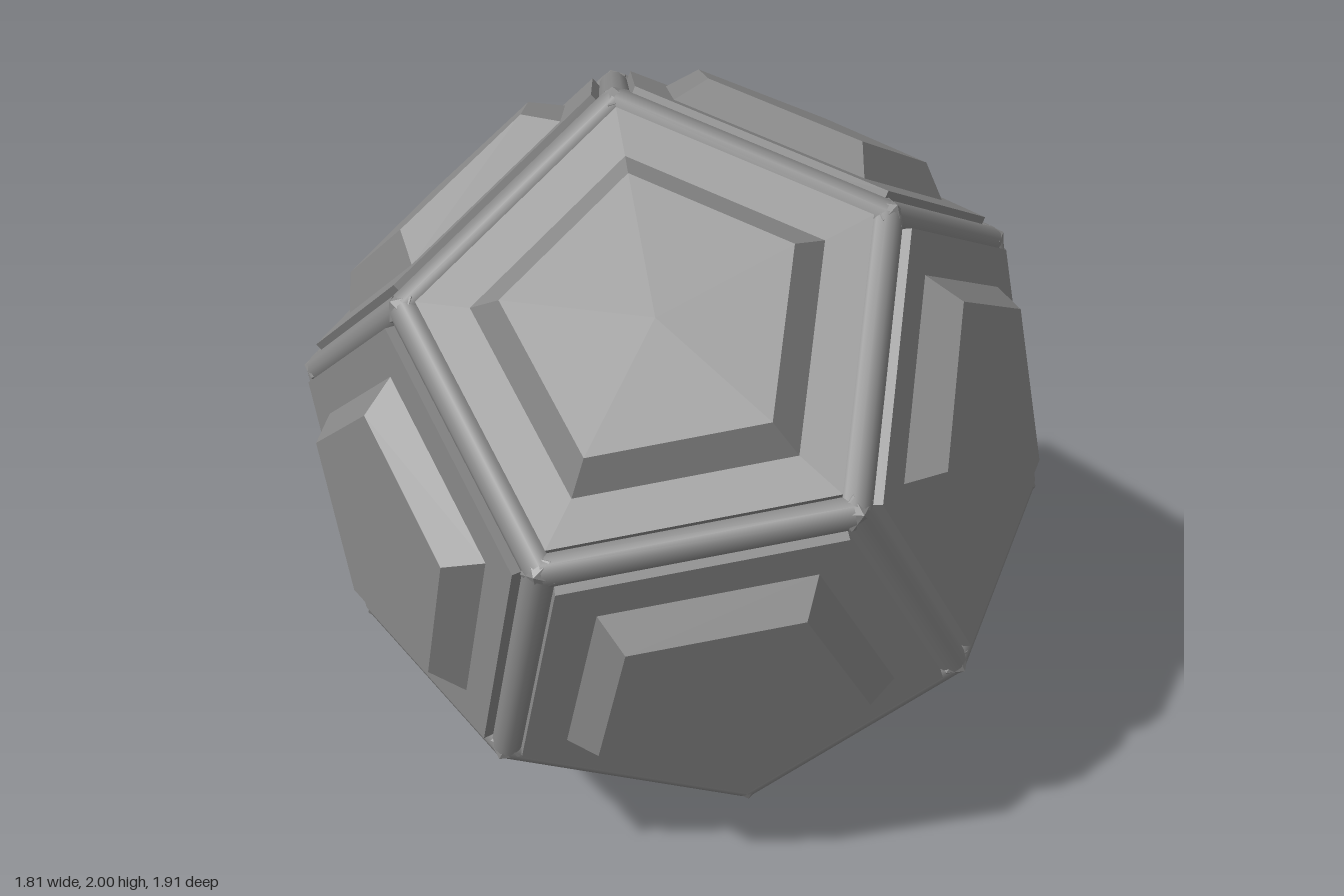
import * as THREE from 'three';
import { ConvexGeometry } from 'three/addons/geometries/ConvexGeometry.js';

const V = (x, y, z) => new THREE.Vector3(x, y, z);

export function createModel() {
  const model = new THREE.Group();
  const flat = new THREE.MeshStandardMaterial({ color: 0x888888, flatShading: true });
  const smooth = new THREE.MeshStandardMaterial({ color: 0x888888 });

  // Place a mesh with its local y along "up" and its local z along "out"
  function add(geometry, name, position, up, out, material = flat) {
    const mesh = new THREE.Mesh(geometry, material);
    mesh.name = name;
    mesh.position.copy(position);
    const side = up.clone().cross(out).normalize();
    mesh.quaternion.setFromRotationMatrix(new THREE.Matrix4().makeBasis(side, up, out));
    model.add(mesh);
  }

  // Twelve face normals: one pair on the x axis, two rings of five
  const normals = [V(1, 0, 0), V(-1, 0, 0)];
  for (let k = 0; k < 5; k++) {
    const a = Math.PI / 2 + (k * 2 * Math.PI) / 5;
    const n = V(1, 2 * Math.sin(a), 2 * Math.cos(a)).normalize();
    normals.push(n, n.clone().negate());
  }
  const adjacent = (a, b) => Math.abs(a.dot(b) - 1 / Math.sqrt(5)) < 0.01;

  const R = 0.971;           // corner distance of the frame
  const edge = R / 1.40126;  // frame edge length
  const beamR = 0.042;

  // Panels with a raised bevelled plate on each face
  const slab = new THREE.CylinderGeometry(0.556, 0.556, 0.09, 5);
  const plate = new THREE.CylinderGeometry(0.35, 0.43, 0.077, 5);
  for (const n of normals) {
    const m = normals.find((o) => adjacent(n, o));
    const corner = n.clone().multiplyScalar(n.dot(m)).sub(m).normalize();
    const at = (h) => n.clone().multiplyScalar(h);
    add(slab, 'panel', at(0.784), n, corner);
    add(plate, 'raisedPlate', at(0.8665), n, corner);
  }

  // Round beams along the edges, faceted joints at the corners
  const beam = new THREE.CylinderGeometry(beamR, beamR, edge, 12, 1, true);
  const joint = new THREE.IcosahedronGeometry(0.049, 0);
  const p = joint.attributes.position;
  joint.applyQuaternion(new THREE.Quaternion().setFromUnitVectors(
    V(p.getX(0), p.getY(0), p.getZ(0)).normalize(), V(0, 0, 1)));
  const corners = [];
  normals.forEach((a, i) => {
    for (let j = i + 1; j < 12; j++) {
      const b = normals[j];
      if (!adjacent(a, b)) continue;
      const out = a.clone().add(b).normalize();
      const along = a.clone().cross(b).normalize();
      add(beam, 'edgeBeam', out.clone().multiplyScalar(edge * 1.30902), along, out, smooth);
      for (let k = j + 1; k < 12; k++) {
        const c = normals[k];
        if (!adjacent(a, c) || !adjacent(b, c)) continue;
        const dir = a.clone().add(b).add(c).normalize();
        const up = a.clone().cross(dir).normalize();
        add(joint, 'cornerJoint', dir.clone().multiplyScalar(R), up, dir);
        corners.push(dir.multiplyScalar(0.94));
      }
    }
  });

  // Solid core at the bottom of the grooves
  const core = new THREE.Mesh(new ConvexGeometry(corners), flat);
  core.name = 'core';
  model.add(core);

  // Stand it on the ground
  const box = new THREE.Box3().setFromObject(model, true);
  for (const child of model.children) child.position.y -= box.min.y;
  return model;
}
